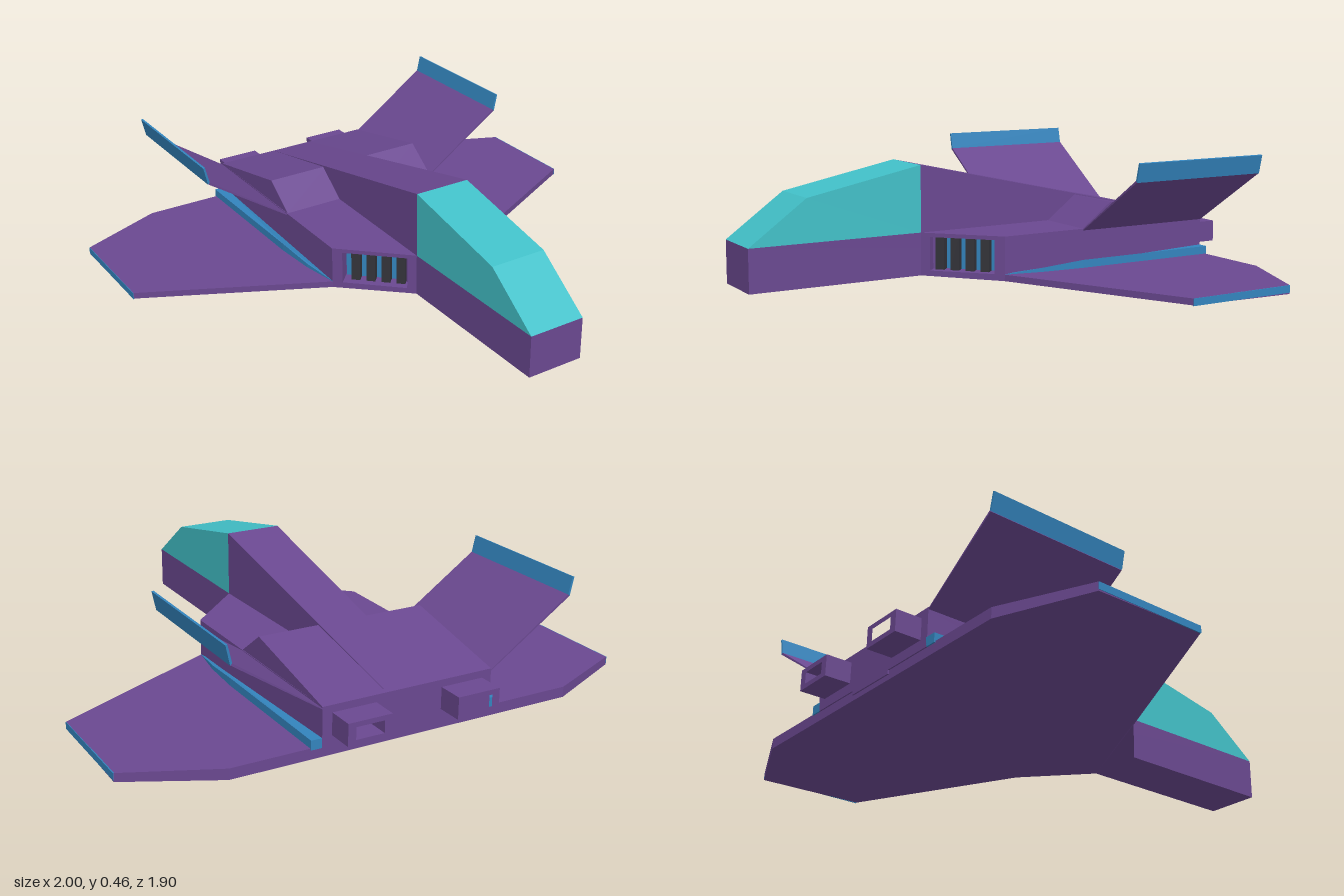
import * as THREE from 'three';

const mat = (name, color) => Object.assign(new THREE.MeshStandardMaterial({ color }), { name });

export function createModel() {
  const model = new THREE.Group();
  const purple = mat('hull purple', 0x6a4890);
  const teal = mat('canopy teal', 0x42c0c8);
  const blue = mat('trim blue', 0x3384bd);
  const dark = mat('grille dark', 0x34343a);

  const add = (name, geometry, material) => {
    const mesh = new THREE.Mesh(geometry, material);
    mesh.name = name;
    model.add(mesh);
    return mesh;
  };
  const toShape = (pts) => new THREE.Shape(pts.map(([a, b]) => new THREE.Vector2(a, b)));
  const extrude = (shape, depth) => new THREE.ExtrudeGeometry(shape, { depth, bevelEnabled: false });
  // Plan outline of [x, z] points, raised from y0 to y1
  const slab = (pts, y0, y1) =>
    extrude(toShape(pts.map(([x, z]) => [x, -z])), y1 - y0).rotateX(-Math.PI / 2).translate(0, y0, 0);
  // Side profile of [z, y] points, spanning x0 to x1
  const profile = (pts, x0, x1) =>
    extrude(toShape(pts.map(([z, y]) => [-z, y])), x1 - x0).rotateY(Math.PI / 2).translate(x0, 0, 0);
  const reshape = (geometry, rule) => {
    const p = geometry.attributes.position;
    const v = new THREE.Vector3();
    for (let i = 0; i < p.count; i++) {
      rule(v.fromBufferAttribute(p, i));
      p.setXYZ(i, v.x, v.y, v.z);
    }
    geometry.computeVertexNormals();
    return geometry;
  };

  // Central fuselage, canopy and the tapering spine behind it
  add('fuselage', profile([[0.95, 0.02], [0.95, 0.18], [-0.85, 0.18], [-0.85, 0.02]], -0.11, 0.11), purple);
  add('canopy', profile([[0.95, 0.18], [0.73, 0.34], [0.28, 0.43], [0.28, 0.18]], -0.11, 0.11), teal);
  add('spine', reshape(profile([[0.28, 0.18], [0.28, 0.43], [-0.85, 0.18]], -0.11, 0.11), (v) => {
    v.x *= 1 - 0.18 * (0.28 - v.z) / 1.13;
  }), purple);

  // Wing plate, with its underside sinking gently towards the rear
  const half = [[0.11, 0.28], [0.34, 0.06], [0.998, -0.27], [0.998, -0.7], [0.67, -0.845]];
  const outline = [...half, ...half.map(([x, z]) => [-x, z]).reverse()];
  add('wings', reshape(slab(outline, 0, 0.04), (v) => {
    if (v.y < 0.02) v.y = 0.02 - 0.0177 * (0.28 - v.z) + (Math.abs(v.x) > 0.9 ? 0.006 : 0);
  }), purple);

  // Intake face runs from a to b; the recess is cut at right angles to it
  const a = [0.11, 0.28], b = [0.34, 0.06];
  const angle = Math.atan2(0.22, 0.23);
  const onFace = (t, depth) => [
    a[0] + (b[0] - a[0]) * t - Math.sin(angle) * depth,
    a[1] + (b[1] - a[1]) * t - Math.cos(angle) * depth,
  ];

  for (const s of [1, -1]) {
    const side = s > 0 ? 'left' : 'right';
    const flip = (pts) => pts.map(([x, y]) => [s * x, y]);
    const span = (pts, x0, x1) => profile(pts, Math.min(s * x0, s * x1), Math.max(s * x0, s * x1));

    // Side body with intake recess, and its roof
    const notched = [a, onFace(0.11, 0), onFace(0.11, 0.07), onFace(0.88, 0.07), onFace(0.88, 0), b,
      [0.335, -0.85], [0.05, -0.85], [0.05, 0.28]];
    add(side + 'SideBody', slab(flip(notched), 0.035, 0.165), purple);
    add(side + 'SideRoof', slab(flip([a, b, [0.335, -0.85], [0.05, -0.85], [0.05, 0.28]]), 0.165, 0.18), purple);

    // Intake grille: blue backing with dark upright bars
    const grille = (name, t, depth, width, thick, material) => {
      const [x, z] = onFace(t, depth);
      const mesh = add(side + name, new THREE.BoxGeometry(width, 0.128, thick), material);
      mesh.position.set(s * x, 0.101, z);
      mesh.rotation.y = s * angle;
    };
    grille('IntakeBack', 0.495, 0.066, 0.24, 0.008, blue);
    for (const t of [0.2, 0.38, 0.56, 0.74]) grille('IntakeBar', t, 0.045, 0.033, 0.034, dark);

    // Engine hump on the rear deck
    add(side + 'EngineHump', span([[-0.285, 0.18], [-0.41, 0.272], [-0.85, 0.18]], 0.085, 0.335), purple);

    // Hollow rectangular nozzle
    const nozzle = toShape(flip([[0.13, 0.072], [0.298, 0.072], [0.298, 0.153], [0.13, 0.153]]));
    nozzle.holes.push(new THREE.Path(flip([[0.16, 0.09], [0.268, 0.09], [0.268, 0.135], [0.16, 0.135]])
      .map(([x, y]) => new THREE.Vector2(x, y))));
    add(side + 'Nozzle', extrude(nozzle, 0.105).translate(0, 0, -0.95), purple);

    // Canted tail fin with blue tip
    const fin = [[0.33, 0.172], [0.336, 0.172], [0.66, 0.388], [0.655, 0.395]];
    const tip = [[0.655, 0.395], [0.662, 0.388], [0.677, 0.457], [0.67, 0.459]];
    add(side + 'Fin', extrude(toShape(flip(fin)), 0.565).translate(0, 0, -0.85), purple);
    add(side + 'FinTip', extrude(toShape(flip(tip)), 0.565).translate(0, 0, -0.85), blue);

    // Blue fairing along the wing root, rising from a point at the front
    const root = [[0.33, 0.06], [0.34, 0.06], [0.365, -0.09], [0.376, -0.26], [0.376, -0.85], [0.33, -0.85]];
    add(side + 'RootFairing', reshape(slab(flip(root), 0.035, 0.07), (v) => {
      if (v.y > 0.05) v.y = 0.041 + 0.029 * Math.min(1, (0.06 - v.z) / 0.3);
    }), blue);

    // Blue wing tip edge
    const edge = add(side + 'WingTip', new THREE.BoxGeometry(0.004, 0.026, 0.43), blue);
    edge.position.set(s * 0.998, 0.027, -0.485);
  }
  return model;
}
